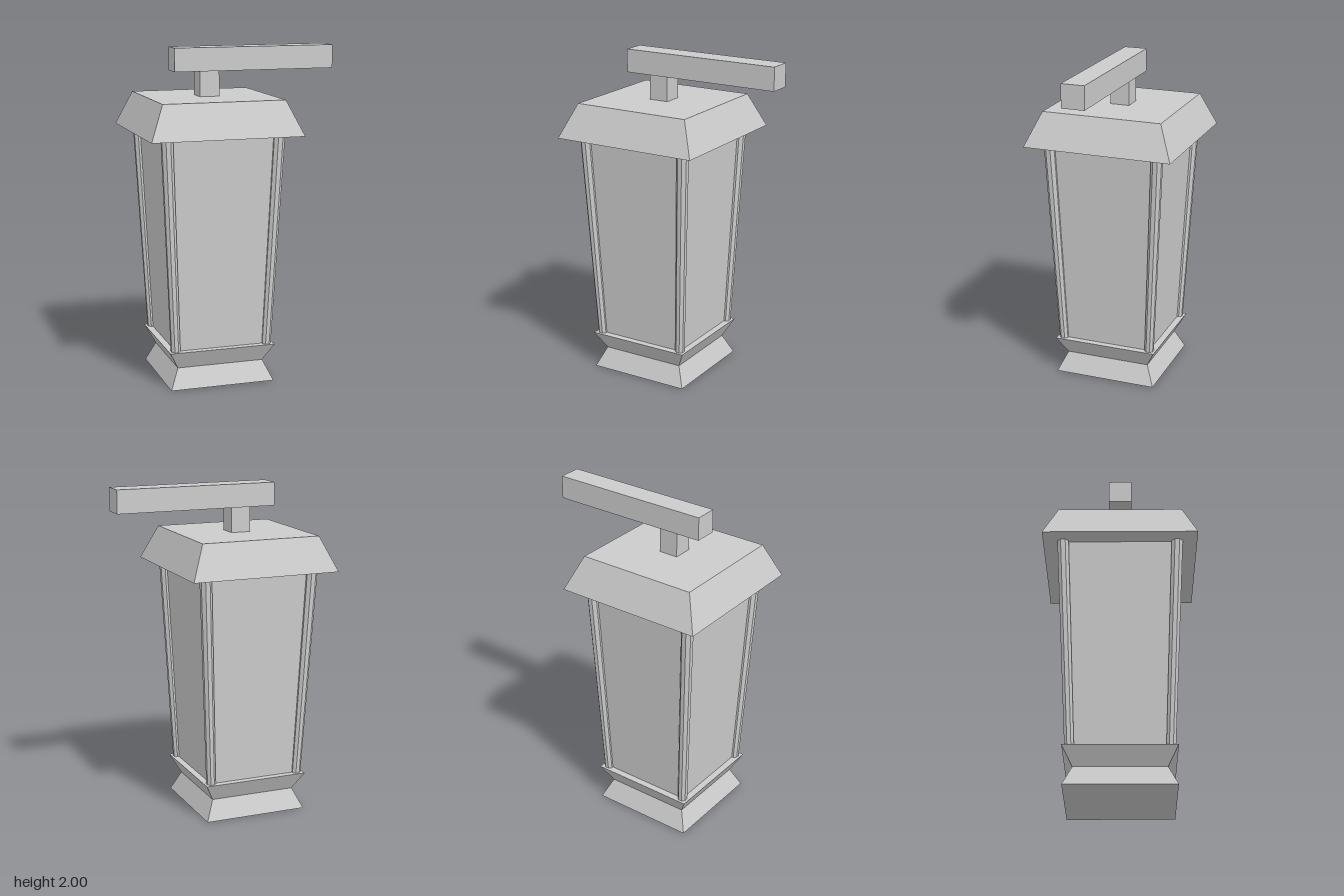
import * as THREE from 'three';

const material = new THREE.MeshStandardMaterial({ color: 0xcccccc, flatShading: true });

function addMesh(parent, name, geometry) {
  const mesh = new THREE.Mesh(geometry, material);
  mesh.name = name;
  parent.add(mesh);
  return mesh;
}

// Square frustum from y0 to y1 with the given half widths
function frustum(half0, half1, y0, y1) {
  return new THREE.CylinderGeometry(half1 * Math.SQRT2, half0 * Math.SQRT2, y1 - y0, 4)
    .rotateY(Math.PI / 4)
    .translate(0, (y0 + y1) / 2, 0);
}

function box(x0, x1, y0, y1, halfDepth) {
  return new THREE.BoxGeometry(x1 - x0, y1 - y0, halfDepth * 2)
    .translate((x0 + x1) / 2, (y0 + y1) / 2, 0);
}

// Eight-sided tapered post that leans outward along a corner of the body
function postGeometry(sx, sz, y0, y1) {
  const bottom = 0.283, top = 0.338;
  const geometry = new THREE.CylinderGeometry(0.036, 0.029, y1 - y0, 8).rotateY(Math.PI / 8);
  const p = geometry.attributes.position;
  for (let i = 0; i < p.count; i++) {
    const t = p.getY(i) / (y1 - y0) + 0.5;
    const offset = bottom + (top - bottom) * t;
    p.setXYZ(i, p.getX(i) + sx * offset, y0 + t * (y1 - y0), p.getZ(i) + sz * offset);
  }
  geometry.computeVertexNormals();
  return geometry;
}

export function createModel() {
  const model = new THREE.Group();
  model.name = 'hangingLantern';

  // Lantern, set to one side of the overhanging arm
  const lantern = new THREE.Group();
  lantern.name = 'lantern';
  lantern.position.x = -0.16;
  model.add(lantern);

  // Waisted base
  addMesh(lantern, 'baseFoot', frustum(0.32, 0.265, 0, 0.12));
  addMesh(lantern, 'baseCollar', frustum(0.265, 0.325, 0.12, 0.23));

  // Glass body and corner posts
  addMesh(lantern, 'glassBody', frustum(0.283, 0.338, 0.23, 1.505));
  for (const sx of [-1, 1]) {
    for (const sz of [-1, 1]) {
      addMesh(lantern, 'cornerPost', postGeometry(sx, sz, 0.23, 1.505));
    }
  }

  // Roof
  addMesh(lantern, 'roof', frustum(0.457, 0.368, 1.505, 1.71));

  // Stem and supporting arm
  addMesh(model, 'stem', box(-0.22, -0.10, 1.71, 1.86, 0.06));
  addMesh(model, 'supportArm', box(-0.375, 0.615, 1.86, 2, 0.07));

  return model;
}
